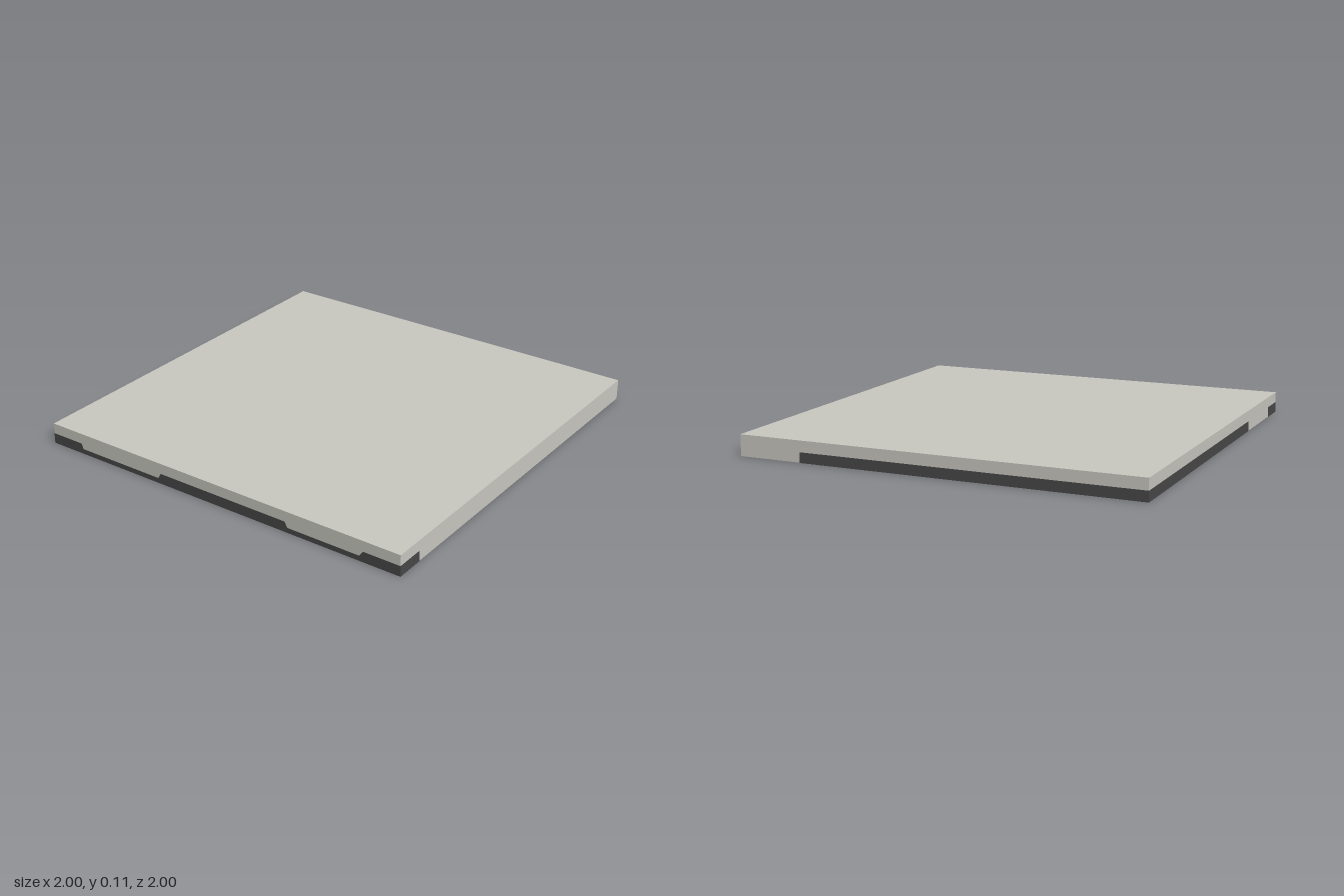
import * as THREE from 'three';

export function createModel() {
  const model = new THREE.Group();
  model.name = 'floorSlab';
  const stone = new THREE.MeshStandardMaterial({ name: 'pale stone', color: 0xc9c8c1 });
  const dark = new THREE.MeshStandardMaterial({ name: 'charcoal', color: 0x484848 });
  const skin = 0.001; // dark parts stand this far proud of the slab

  function add(name, geometry, material) {
    const mesh = new THREE.Mesh(geometry, material);
    mesh.name = name;
    model.add(mesh);
  }

  // Box given by its limits on each axis
  function block(name, material, [x0, x1], [y0, y1], [z0, z1]) {
    const g = new THREE.BoxGeometry(x1 - x0, y1 - y0, z1 - z0);
    g.translate((x0 + x1) / 2, (y0 + y1) / 2, (z0 + z1) / 2);
    add(name, g, material);
  }

  // Main slab
  const e = 1 - skin;
  block('slab', stone, [-e, e], [skin, 0.105], [-e, e]);

  // Dark base under the back of the slab
  block('backBase', dark, [-1, 0.68], [0, 0.05], [-1, 0.48]);

  // Dark front edging with a stepped top line
  const edge = new THREE.Shape([
    [-1, 0], [1, 0], [1, 0.052], [0.81, 0.052], [0.79, 0.025], [0.41, 0.025], [0.395, 0.052],
    [-0.32, 0.052], [-0.335, 0.025], [-0.81, 0.025], [-0.82, 0.052], [-1, 0.052],
  ].map(([x, y]) => new THREE.Vector2(x, y)));
  const edging = new THREE.ExtrudeGeometry(edge, { depth: 0.145, bevelEnabled: false });
  edging.translate(0, 0, 0.855);
  add('frontEdging', edging, dark);

  // Small tab on the underside behind the edging
  const tab = new THREE.Shape([
    [0.79, 0.86], [0.79, 0.8], [0.815, 0.775], [0.89, 0.775], [0.915, 0.8], [0.915, 0.86],
  ].map(([x, z]) => new THREE.Vector2(x, z)));
  const tabGeometry = new THREE.ExtrudeGeometry(tab, { depth: 0.02, bevelEnabled: false });
  tabGeometry.rotateX(Math.PI / 2).translate(0, 0.02, 0);
  add('undersideTab', tabGeometry, dark);

  return model;
}
